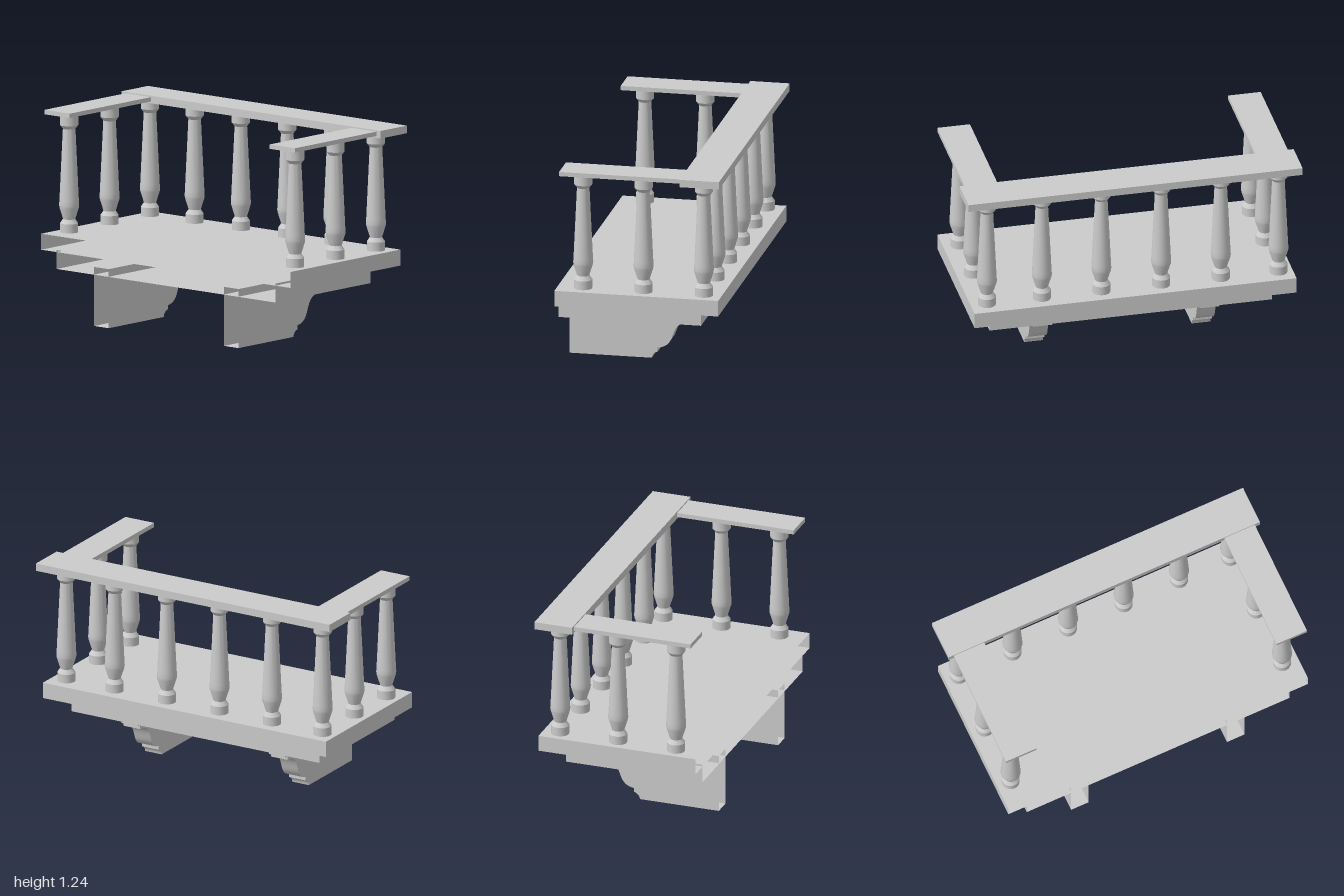
import * as THREE from 'three';
import { toCreasedNormals } from 'three/addons/utils/BufferGeometryUtils.js';

const material = new THREE.MeshStandardMaterial({ color: 0xcccccc });
const openMaterial = new THREE.MeshStandardMaterial({ color: 0xcccccc, side: THREE.DoubleSide });

function add(parent, name, geometry, mat = material) {
  const mesh = new THREE.Mesh(geometry, mat);
  mesh.name = name;
  parent.add(mesh);
  return mesh;
}

// Box given by its limits on each axis
function box([x0, x1], [y0, y1], [z0, z1]) {
  return new THREE.BoxGeometry(x1 - x0, y1 - y0, z1 - z0)
    .translate((x0 + x1) / 2, (y0 + y1) / 2, (z0 + z1) / 2);
}

// Drop the faces lying on the +z limit: the side that meets the wall is open
function openWallSide(geometry) {
  const source = geometry.index ? geometry.toNonIndexed() : geometry;
  source.computeBoundingBox();
  const zMax = source.boundingBox.max.z;
  const p = source.attributes.position;
  const kept = [];
  for (let i = 0; i < p.count; i += 3) {
    if ([0, 1, 2].every((k) => p.getZ(i + k) > zMax - 1e-4)) continue;
    for (let k = 0; k < 3; k++) kept.push(p.getX(i + k), p.getY(i + k), p.getZ(i + k));
  }
  const result = new THREE.BufferGeometry();
  result.setAttribute('position', new THREE.Float32BufferAttribute(kept, 3));
  result.computeVertexNormals();
  return toCreasedNormals(result, 0.6);
}

// Scrolled bracket, outline drawn from the wall outwards
function bracketGeometry(width) {
  const s = new THREE.Shape();
  s.moveTo(-0.49, 0);
  s.lineTo(0, 0);
  s.bezierCurveTo(0.004, 0.025, 0.018, 0.036, 0.036, 0.04);
  s.lineTo(0.036, 0.064);
  s.bezierCurveTo(0.075, 0.07, 0.1, 0.083, 0.118, 0.125);
  s.bezierCurveTo(0.14, 0.185, 0.15, 0.232, 0.243, 0.234);
  s.lineTo(0.243, 0.258);
  s.lineTo(0.267, 0.258);
  s.lineTo(0.267, 0.35);
  s.lineTo(-0.49, 0.35);
  s.closePath();
  const g = new THREE.ExtrudeGeometry(s, { depth: width, bevelEnabled: false, curveSegments: 8 });
  return openWallSide(g.translate(0, 0, -width / 2).rotateY(Math.PI / 2));
}

// Turned baluster: foot, neck, belly, tapering shaft and cap
function balusterGeometry() {
  const profile = [
    [0, 0.476], [0.053, 0.476], [0.053, 0.553], [0.036, 0.578], [0.057, 0.645], [0.059, 0.66],
    [0.057, 0.69], [0.037, 1.113], [0.054, 1.135], [0.054, 1.204], [0, 1.204],
  ].map(([r, y]) => new THREE.Vector2(r, y));
  return toCreasedNormals(new THREE.LatheGeometry(profile, 20), 0.5);
}

export function createModel() {
  const model = new THREE.Group();
  model.name = 'balcony';

  // Floor and the smaller slab under it
  add(model, 'floorSlab', openWallSide(box([-0.967, 0.96], [0.405, 0.5], [-0.482, 0.495])), openMaterial);
  add(model, 'lowerSlab', openWallSide(box([-0.848, 0.842], [0.305, 0.417], [-0.355, 0.495])), openMaterial);

  // Supporting brackets
  const bracket = bracketGeometry(0.112);
  for (const x of [-0.505, 0.497]) add(model, 'bracket', bracket, openMaterial).position.x = x;

  // Balusters: one row along the outer edge, two more on each side
  const balusters = new THREE.Group();
  balusters.name = 'balusters';
  model.add(balusters);
  const baluster = balusterGeometry();
  const place = (x, z) => add(balusters, 'baluster', baluster).position.set(x, 0, z);
  for (const x of [-0.882, -0.537, -0.18, 0.178, 0.534, 0.863]) place(x, -0.377);
  for (const x of [-0.882, 0.863]) for (const z of [-0.017, 0.343]) place(x, z);

  // Handrails
  add(model, 'outerRail', box([-1, 1], [1.193, 1.238], [-0.495, -0.26]));
  for (const x of [[-0.968, -0.773], [0.772, 0.967]]) {
    add(model, 'sideRail', box(x, [1.204, 1.23], [-0.28, 0.465]));
  }
  return model;
}
